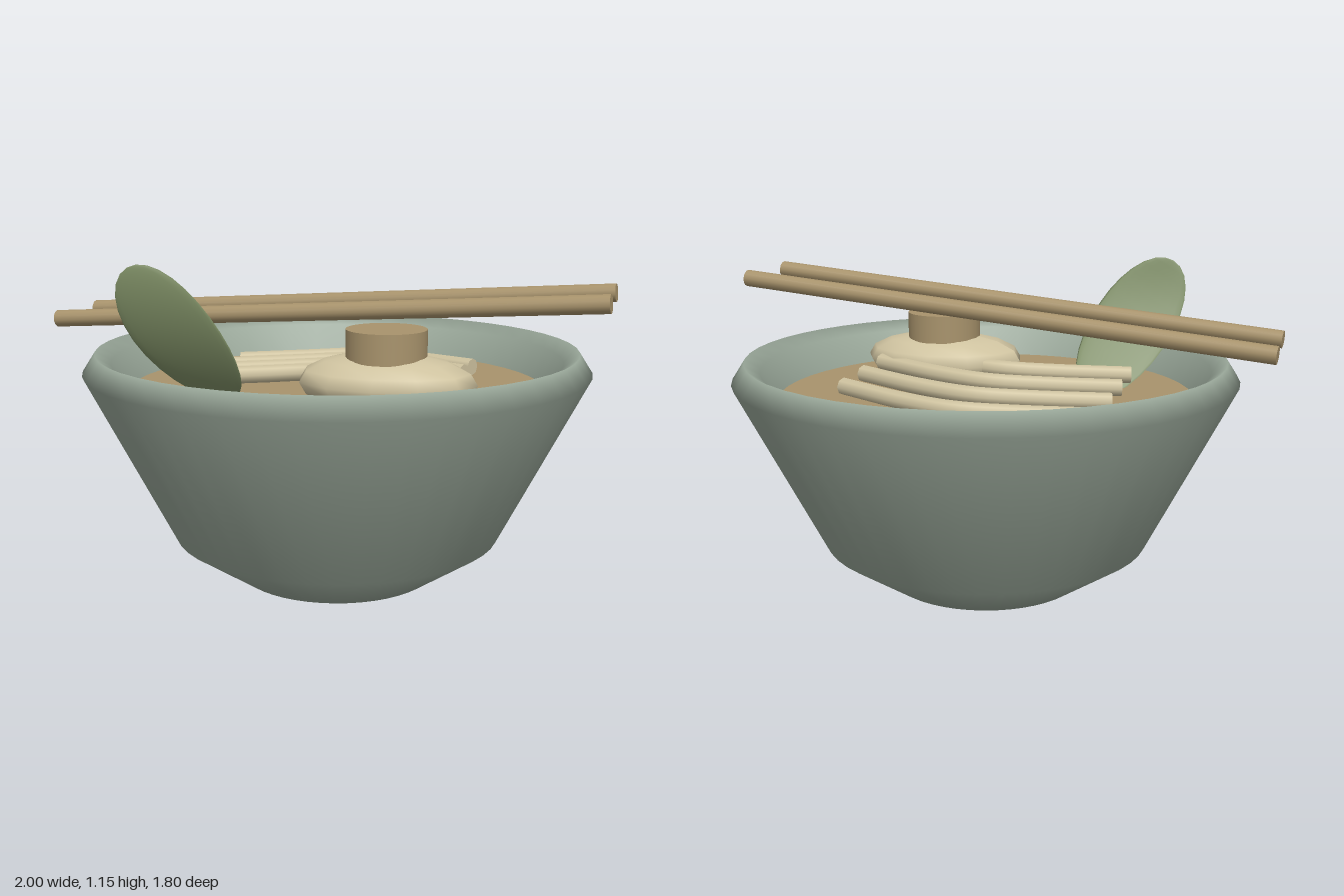
import * as THREE from 'three';

const material = (name, color, side = THREE.FrontSide) => {
  const m = new THREE.MeshStandardMaterial({ color, side });
  m.name = name;
  return m;
};

export function createModel() {
  const model = new THREE.Group();
  model.name = 'noodleBowl';

  const glaze = material('celadonGlaze', 0x98a698);
  const broth = material('brothBrown', 0xa8936c);
  const wood = material('chopstickWood', 0xa8936c);
  const cream = material('cream', 0xcfc3a0);
  const green = material('leafGreen', 0x7f8f66, THREE.DoubleSide);

  const add = (name, geometry, mat, x = 0, y = 0, z = 0) => {
    const mesh = new THREE.Mesh(geometry, mat);
    mesh.name = name;
    mesh.position.set(x, y, z);
    model.add(mesh);
    return mesh;
  };

  const cx = 0.03;

  // Bowl: outer wall, bevelled lip, then the inner wall
  const profile = [
    [0, 0], [0.36, 0], [0.59, 0.155], [0.9, 0.765], [0.855, 0.835],
    [0.8, 0.8], [0.745, 0.69], [0.53, 0.2], [0, 0.08],
  ].map(([r, y]) => new THREE.Vector2(r, y));
  add('bowl', new THREE.LatheGeometry(profile, 48), glaze, cx);

  // Broth surface
  add('broth', new THREE.CylinderGeometry(0.747, 0.735, 0.02, 48), broth, cx, 0.683, 0);

  // Four arched noodles
  for (let i = 0; i < 4; i++) {
    const z = 0.18 * i, y = 0.712 + 0.01 * i;
    const path = new THREE.CatmullRomCurve3([
      new THREE.Vector3(-0.455, y, -0.305 + z),
      new THREE.Vector3(-0.2, y + 0.01, -0.383 + z),
      new THREE.Vector3(0, y + 0.02, -0.428 + z),
      new THREE.Vector3(0.2, y + 0.025, -0.378 + z),
      new THREE.Vector3(0.48, y + 0.03, -0.245 + z),
    ]);
    const noodle = new THREE.Group();
    noodle.name = 'noodle' + (i + 1);
    const strand = new THREE.Mesh(new THREE.TubeGeometry(path, 24, 0.031, 8), cream);
    strand.name = 'noodleStrand';
    noodle.add(strand);
    // Flat ends
    for (const t of [0, 1]) {
      const end = new THREE.Mesh(new THREE.CircleGeometry(0.031, 8), cream);
      end.name = 'noodleEnd';
      end.position.copy(path.getPoint(t));
      const out = path.getTangent(t).multiplyScalar(t ? 1 : -1);
      end.quaternion.setFromUnitVectors(new THREE.Vector3(0, 0, 1), out);
      noodle.add(end);
    }
    model.add(noodle);
  }

  // Egg: flattened white with a slightly uneven edge, and a yolk disc
  const white = new THREE.SphereGeometry(1, 12, 8);
  const wp = white.attributes.position;
  for (let i = 0; i < wp.count; i++) {
    const x = wp.getX(i), y = wp.getY(i), z = wp.getZ(i);
    const wobble = 1 + 0.03 * Math.sin(3 * Math.atan2(z, x) + 0.6);
    wp.setXYZ(i, x * wobble * 0.305, y * 0.1, z * wobble * 0.212);
  }
  white.computeVertexNormals();
  add('eggWhite', white, cream, 0.27, 0.768, 0.24);
  add('eggYolk', new THREE.CylinderGeometry(0.137, 0.137, 0.12, 32), broth, 0.27, 0.885, 0.24);

  // Leaf: thin ellipsoid, tilted sideways and bent back into the broth
  const leaf = new THREE.SphereGeometry(1, 20, 14);
  leaf.scale(0.148, 0.275, 0.012);
  leaf.rotateZ(Math.PI / 6);
  const lp = leaf.attributes.position;
  for (let i = 0; i < lp.count; i++) {
    const x = lp.getX(i), drop = 0.26 - lp.getY(i);
    lp.setZ(i, lp.getZ(i) + 0.428 - 0.9 * drop * drop - 0.13 * x);
  }
  leaf.computeVertexNormals();
  add('leaf', leaf, green, -0.43, 0.905, 0);

  // Two chopsticks resting across the bowl
  for (const [name, z] of [['backChopstick', -0.152], ['frontChopstick', 0.15]]) {
    const a = new THREE.Vector3(-0.997, 0.917, z);
    const b = new THREE.Vector3(0.997, 1.068, z + 0.207);
    const dir = b.clone().sub(a);
    const mid = a.clone().add(b).multiplyScalar(0.5);
    const stick = add(name, new THREE.CylinderGeometry(0.031, 0.031, dir.length(), 12), wood, mid.x, mid.y, mid.z);
    stick.quaternion.setFromUnitVectors(new THREE.Vector3(0, 1, 0), dir.normalize());
  }

  return model;
}
